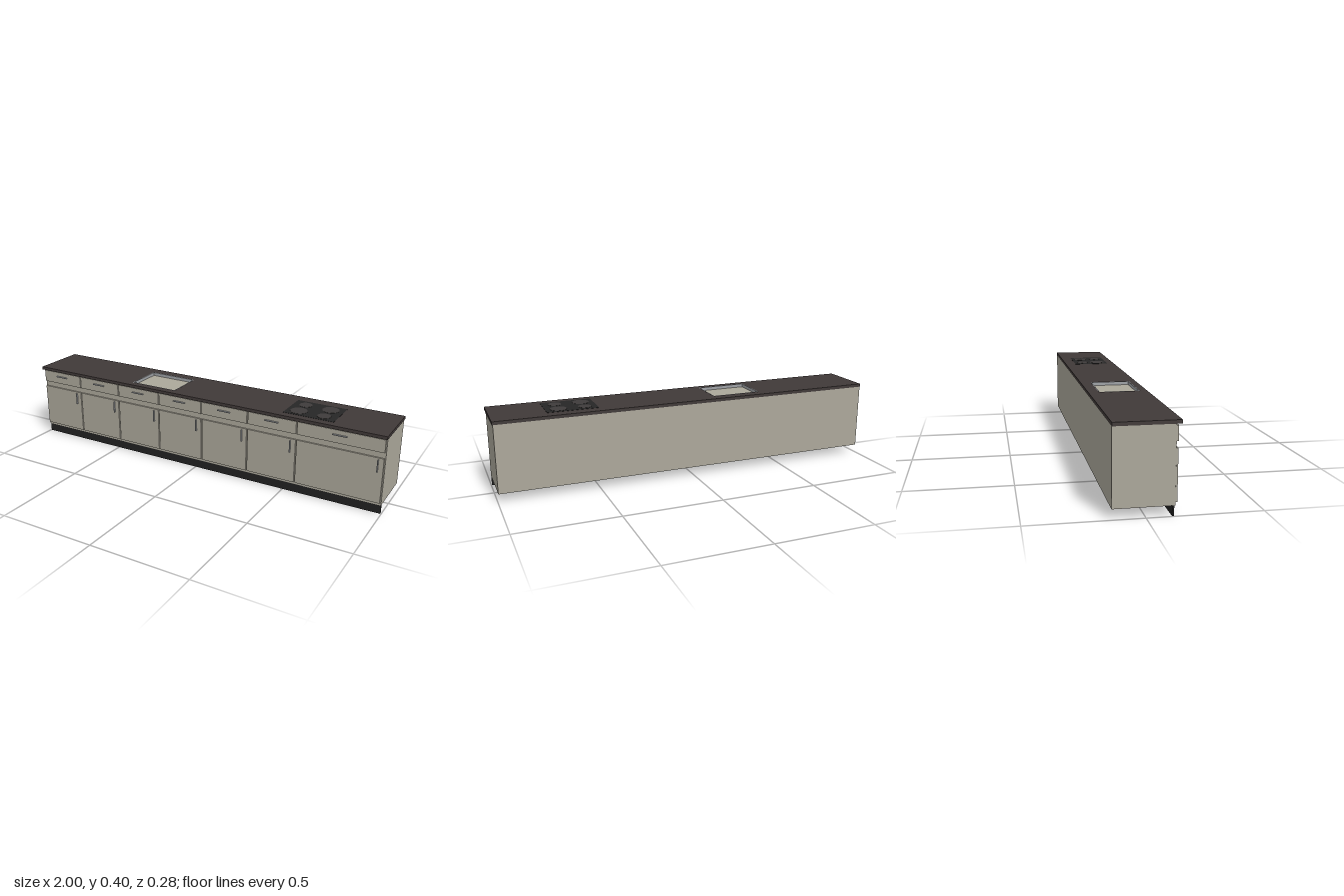
import * as THREE from 'three';

const mat = (name, color) => Object.assign(new THREE.MeshStandardMaterial({ color }), { name });

export function createModel() {
  const front = mat('warm grey cabinet', 0xaca89b);
  const stone = mat('dark worktop', 0x403938);
  const black = mat('black plinth', 0x212121);
  const glass = mat('hob glass', 0x262626);
  const ring = mat('hob ring', 0x3f3c3b);
  const steel = mat('steel', 0x9fa2a6);

  const model = new THREE.Group();
  model.name = 'kitchenUnit';

  // Box given by its minimum and maximum on each axis
  function box(parent, name, material, [x0, x1], [y0, y1], [z0, z1]) {
    const mesh = new THREE.Mesh(new THREE.BoxGeometry(x1 - x0, y1 - y0, z1 - z0), material);
    mesh.position.set((x0 + x1) / 2, (y0 + y1) / 2, (z0 + z1) / 2);
    mesh.name = name;
    parent.add(mesh);
    return mesh;
  }

  // Carcass and recessed plinth
  box(model, 'carcass', front, [-0.997, 0.996], [0.045, 0.384], [-0.141, 0.12]);
  box(model, 'plinth', black, [-0.997, 0.996], [0, 0.045], [0.108, 0.116]);

  // Worktop with the sink cut-out
  const rect = (path, x0, x1, z0, z1) => path
    .moveTo(x0, -z0).lineTo(x1, -z0).lineTo(x1, -z1).lineTo(x0, -z1).closePath();
  const sink = { x0: -0.392, x1: -0.13, z0: -0.09, z1: 0.106 };
  const top = new THREE.Shape();
  rect(top, -1, 1, -0.141, 0.142);
  const hole = new THREE.Path();
  rect(hole, sink.x0, sink.x1, sink.z0, sink.z1);
  top.holes.push(hole);
  const topGeometry = new THREE.ExtrudeGeometry(top, { depth: 0.016, bevelEnabled: false });
  topGeometry.rotateX(-Math.PI / 2);
  const worktop = new THREE.Mesh(topGeometry, stone);
  worktop.position.y = 0.384;
  worktop.name = 'worktop';
  model.add(worktop);

  // Thin steel lining around the sink opening
  const lining = new THREE.Group();
  lining.name = 'sinkLining';
  model.add(lining);
  const t = 0.004, ly = [0.384, 0.4005];
  box(lining, 'liningBack', steel, [sink.x0, sink.x1], ly, [sink.z0, sink.z0 + t]);
  box(lining, 'liningFront', steel, [sink.x0, sink.x1], ly, [sink.z1 - t, sink.z1]);
  box(lining, 'liningRight', steel, [sink.x0, sink.x0 + t], ly, [sink.z0 + t, sink.z1 - t]);
  box(lining, 'liningLeft', steel, [sink.x1 - t, sink.x1], ly, [sink.z0 + t, sink.z1 - t]);

  // Hob plate with four rings
  const hob = new THREE.Group();
  hob.name = 'hob';
  model.add(hob);
  box(hob, 'hobPlate', glass, [0.479, 0.735], [0.398, 0.401], [-0.085, 0.103]);
  for (const [x, z, r] of [[0.54, -0.037, 0.032], [0.67, -0.034, 0.041], [0.54, 0.05, 0.042], [0.67, 0.055, 0.033]]) {
    const disc = new THREE.Mesh(new THREE.CylinderGeometry(r, r, 0.001, 32), ring);
    disc.position.set(x, 0.4014, z);
    disc.name = 'hobRing';
    hob.add(disc);
  }

  // Seven units, each a drawer above a door, with bar handles
  const edges = [-0.997, -0.738, -0.477, -0.217, 0.043, 0.304, 0.565, 0.994];
  for (let i = 0; i < edges.length - 1; i++) {
    const unit = new THREE.Group();
    unit.name = 'unit' + (i + 1);
    model.add(unit);
    const x = [edges[i] + 0.003, edges[i + 1] - 0.003];
    const mid = (x[0] + x[1]) / 2, grip = edges[i + 1] - 0.029;
    box(unit, 'drawerFront', front, x, [0.313, 0.377], [0.121, 0.129]);
    box(unit, 'door', front, x, [0.058, 0.284], [0.121, 0.129]);
    box(unit, 'drawerHandle', steel, [mid - 0.035, mid + 0.035], [0.352, 0.356], [0.129, 0.138]);
    box(unit, 'doorHandle', steel, [grip - 0.002, grip + 0.002], [0.215, 0.276], [0.129, 0.138]);
  }
  return model;
}
